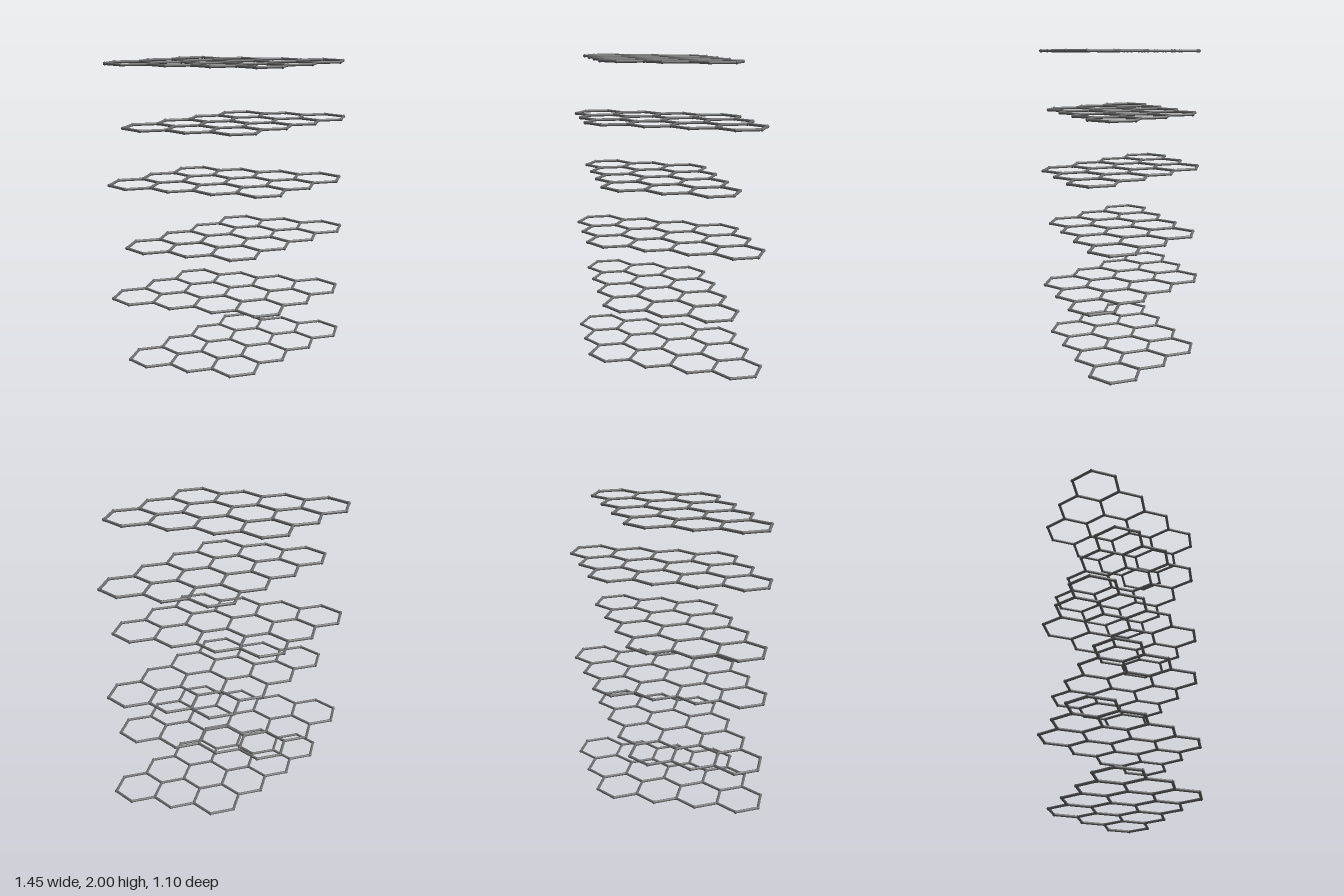
import * as THREE from 'three';
import { mergeGeometries } from 'three/addons/utils/BufferGeometryUtils.js';

const SIDE = 0.1651;                 // hexagon side
const PITCH = SIDE * Math.sqrt(3);   // hexagon width
const GAP = 0.3953;                  // distance between sheets
const NODE_R = 0.0116;
const ROD_R = 0.0093;

// Unique corners and edges of a slanted patch of hexagons
function honeycomb(rows, cols, x0, z0) {
  const nodes = new Map(), edges = new Map();
  const key = (p) => `${Math.round(p.x * 1000 / PITCH * 2 / 1000)},${Math.round(p.z / SIDE * 4)}`;
  for (let r = 0; r < rows; r++) {
    for (let c = 0; c < cols; c++) {
      const cx = x0 + (c + r / 2) * PITCH, cz = z0 - 1.5 * SIDE * r;
      const ring = [];
      for (let k = 0; k < 6; k++) {
        const a = Math.PI / 6 + k * Math.PI / 3;
        ring.push(new THREE.Vector3(cx + SIDE * Math.cos(a), 0, cz + SIDE * Math.sin(a)));
      }
      ring.forEach((p, k) => {
        const q = ring[(k + 1) % 6];
        nodes.set(key(p), p);
        edges.set([key(p), key(q)].sort().join('|'), [p, q]);
      });
    }
  }
  return { nodes: [...nodes.values()], edges: [...edges.values()] };
}

// Cylinder running from p to q
function rod(p, q) {
  const dir = q.clone().sub(p);
  const g = new THREE.CylinderGeometry(ROD_R, ROD_R, dir.length(), 10, 1, true);
  g.applyQuaternion(new THREE.Quaternion().setFromUnitVectors(new THREE.Vector3(0, 1, 0), dir.normalize()));
  const m = p.clone().add(q).multiplyScalar(0.5);
  return g.translate(m.x, m.y, m.z);
}

export function createModel() {
  const model = new THREE.Group();
  model.name = 'layeredLattice';
  const nodeGrey = new THREE.MeshStandardMaterial({ color: 0x646464 });
  nodeGrey.name = 'nodeGrey';
  const rodGrey = new THREE.MeshStandardMaterial({ color: 0x6c6c6c });
  rodGrey.name = 'rodGrey';

  // Two alternating sheets, offset so every other corner lines up
  const patches = [
    honeycomb(4, 3, -1.5 * PITCH, 2.25 * SIDE),
    honeycomb(3, 4, -2 * PITCH, 1.75 * SIDE),
  ].map(({ nodes, edges }) => ({
    nodes: mergeGeometries(nodes.map((p) => new THREE.SphereGeometry(NODE_R, 12, 8).translate(p.x, p.y, p.z))),
    rods: mergeGeometries(edges.map(([p, q]) => rod(p, q))),
  }));

  for (let i = 0; i < 6; i++) {
    const sheet = new THREE.Group();
    sheet.name = `sheet${i + 1}`;
    const nodes = new THREE.Mesh(patches[i % 2].nodes, nodeGrey);
    nodes.name = 'nodes';
    const rods = new THREE.Mesh(patches[i % 2].rods, rodGrey);
    rods.name = 'rods';
    sheet.add(nodes, rods);
    sheet.position.y = NODE_R + i * GAP;
    model.add(sheet);
  }
  return model;
}
